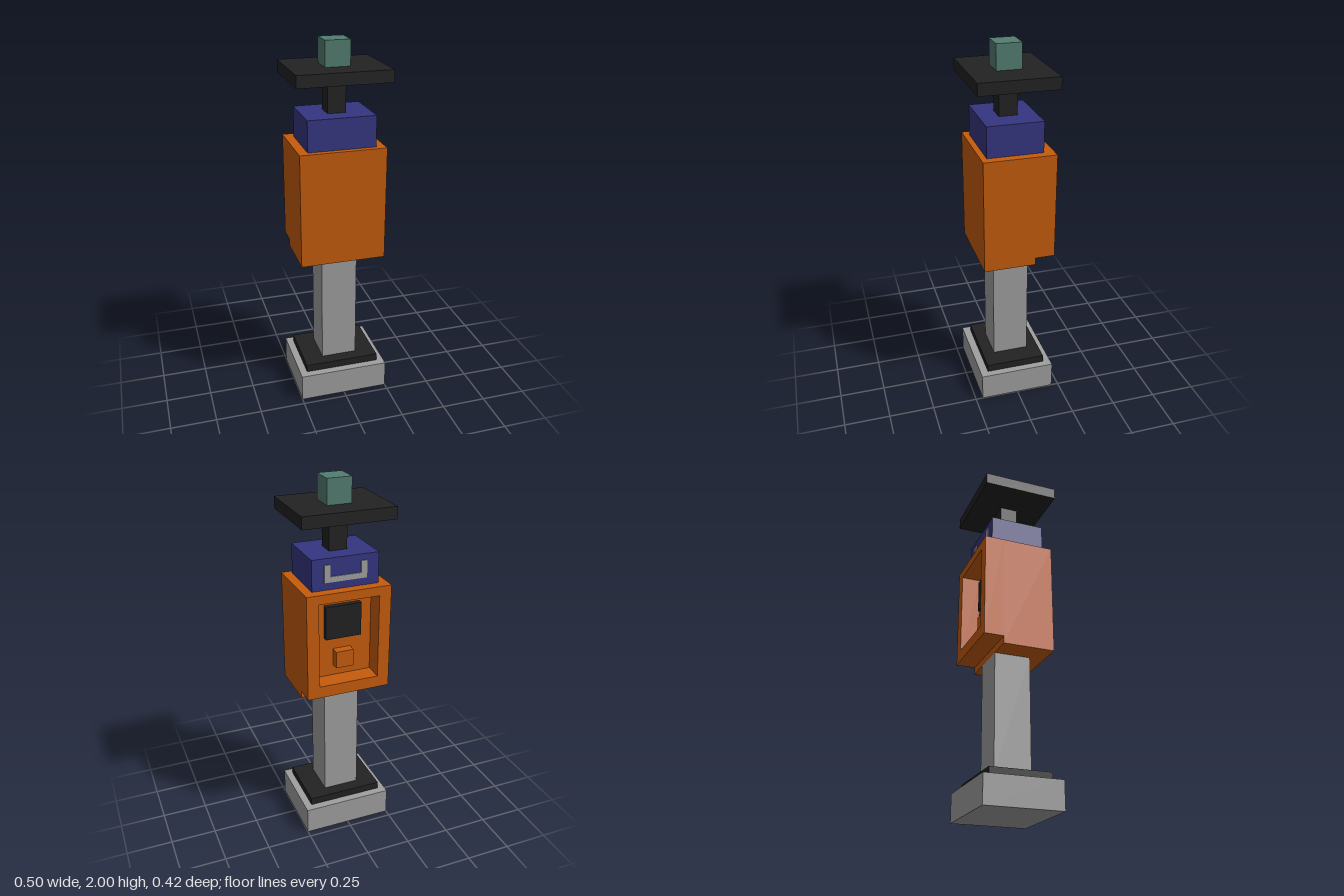
import * as THREE from 'three';

const material = (name, color) => {
  const m = new THREE.MeshStandardMaterial({ color });
  m.name = name;
  return m;
};

export function createModel() {
  const grey = material('grey metal', 0xa0a0a0);
  const black = material('black', 0x222222);
  const orange = material('orange', 0xc55c0d);
  const blue = material('blue', 0x353582);
  const green = material('grey green', 0x527d70);

  const model = new THREE.Group();
  model.name = 'payPost';

  const add = (name, geometry, mat) => {
    const mesh = new THREE.Mesh(geometry, mat);
    mesh.name = name;
    model.add(mesh);
    return mesh;
  };

  // Box given by its extents on each axis
  const box = (name, mat, [x0, x1], [y0, y1], [z0, z1]) =>
    add(name, new THREE.BoxGeometry(x1 - x0, y1 - y0, z1 - z0), mat)
      .position.set((x0 + x1) / 2, (y0 + y1) / 2, (z0 + z1) / 2);
  const sym = (h) => [-h, h];

  // Foot and post
  box('base', grey, sym(0.25), [0, 0.153], sym(0.21));
  box('basePlate', black, sym(0.21), [0.153, 0.195], sym(0.167));
  box('post', grey, sym(0.1), [0.195, 0.837], sym(0.1));

  // Housing
  box('housing', orange, sym(0.233), [0.837, 1.46], [-0.1, 0.183]);

  // Raised frame on the back, leaving a recessed panel
  const rect = (path, h, y0, y1) =>
    path.moveTo(-h, y0).lineTo(h, y0).lineTo(h, y1).lineTo(-h, y1).closePath();
  const frame = new THREE.Shape();
  rect(frame, 0.233, 0.877, 1.46);
  const opening = new THREE.Path();
  rect(opening, 0.167, 0.943, 1.41);
  frame.holes.push(opening);
  add('panelFrame', new THREE.ExtrudeGeometry(frame, { depth: 0.107, bevelEnabled: false }), orange)
    .position.z = -0.207;

  // Panel fittings
  box('screen', black, sym(0.1), [1.17, 1.355], [-0.13, -0.1]);
  box('button', orange, sym(0.05), [1.005, 1.1], [-0.15, -0.1]);

  // Head with a thin bracket plate on its back
  box('head', blue, sym(0.183), [1.46, 1.627], sym(0.151));
  const bracket = new THREE.Shape([
    [-0.117, 1.5], [0.117, 1.5], [0.117, 1.593], [0.084, 1.593],
    [0.084, 1.53], [-0.084, 1.53], [-0.084, 1.593], [-0.117, 1.593],
  ].map(([x, y]) => new THREE.Vector2(x, y)));
  add('bracketPlate', new THREE.ExtrudeGeometry(bracket, { depth: 0.006, bevelEnabled: false }), grey)
    .position.z = -0.156;

  // Neck, canopy and cap
  box('neck', black, sym(0.05), [1.627, 1.803], sym(0.05));
  box('canopy', black, sym(0.25), [1.803, 1.867], sym(0.21));
  box('cap', green, sym(0.067), [1.867, 2], sym(0.067));

  return model;
}
